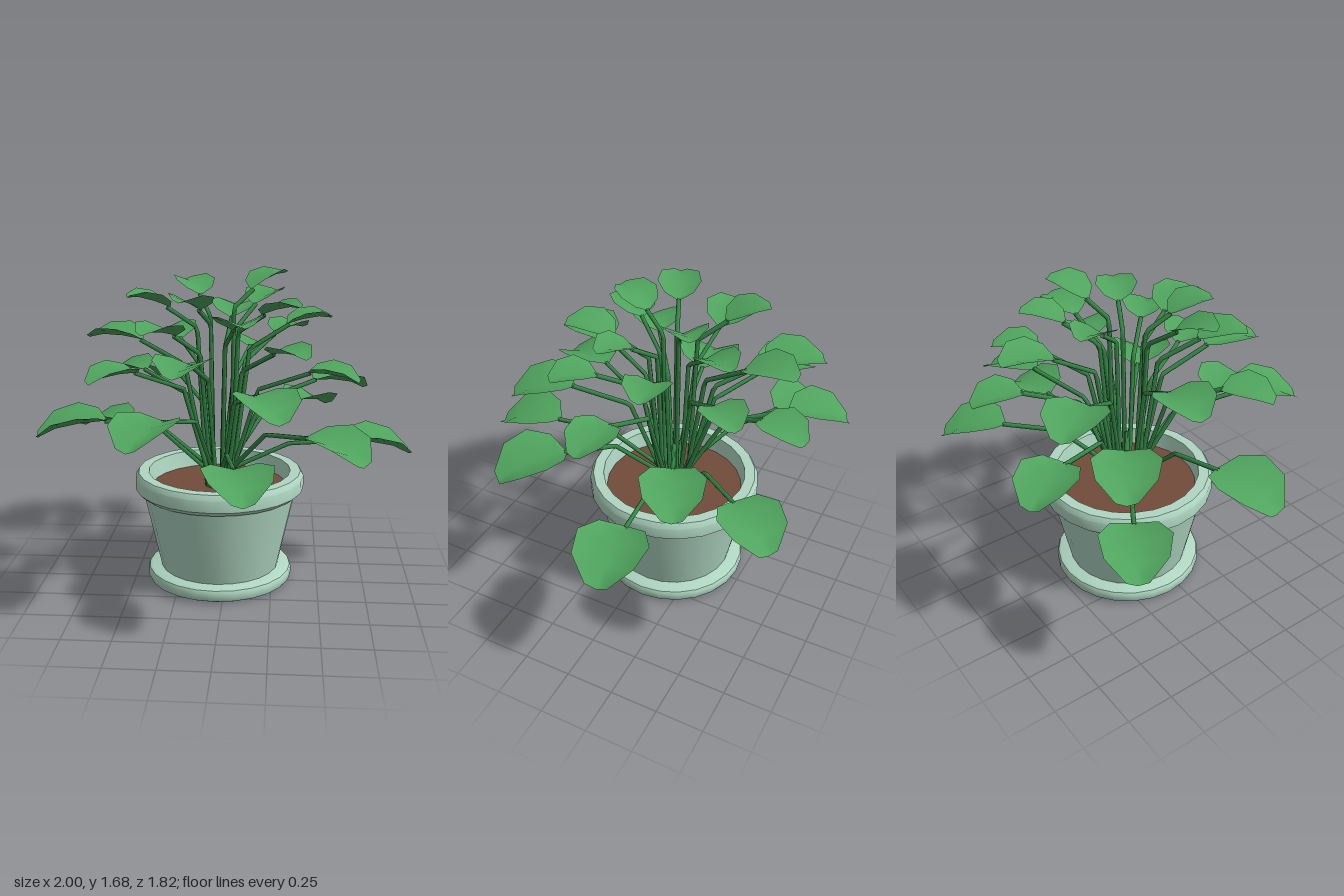
import * as THREE from 'three';
import { toCreasedNormals } from 'three/addons/utils/BufferGeometryUtils.js';

const CX = -0.04, CZ = -0.08; // pot axis

// each leaf: centre x, centre z, middle height, width
const LEAVES = [
  [-0.37, -0.75, 1.0, 0.32], [-0.75, -0.53, 0.76, 0.35], [-0.61, -0.48, 1.08, 0.33],
  [-0.37, -0.59, 1.28, 0.32], [-0.21, -0.39, 1.58, 0.23], [0.13, -0.72, 1.20, 0.26],
  [0.015, -0.60, 1.42, 0.28], [0.455, -0.715, 0.86, 0.34], [0.325, -0.50, 1.33, 0.24],
  [0.20, -0.41, 1.52, 0.23], [0.215, -0.255, 1.63, 0.23], [0.61, -0.385, 1.05, 0.32],
  [0.43, -0.16, 1.43, 0.24], [0.815, -0.17, 0.75, 0.37], [0.555, 0.06, 1.17, 0.27],
  [0.285, 0.08, 1.51, 0.22], [0.325, 0.295, 1.32, 0.24], [0.55, 0.43, 0.89, 0.37],
  [0.225, 0.55, 1.12, 0.33], [0.105, 0.73, 0.80, 0.35], [0.085, 0.335, 1.46, 0.26],
  [-0.17, 0.49, 1.28, 0.30], [-0.335, 0.61, 1.0, 0.35], [-0.305, 0.31, 1.42, 0.25],
  [-0.165, 0.22, 1.55, 0.23], [-0.54, 0.285, 1.20, 0.27], [-0.39, 0.07, 1.55, 0.23],
  [-0.60, -0.155, 1.33, 0.30], [-0.81, 0.07, 0.885, 0.375],
];

function lathe(points, material, name) {
  const profile = points.map(([r, y]) => new THREE.Vector2(r, y));
  const mesh = new THREE.Mesh(toCreasedNormals(new THREE.LatheGeometry(profile, 24), 0.6), material);
  mesh.name = name;
  mesh.position.set(CX, 0, CZ);
  return mesh;
}

// Unit leaf along +z: keeled along the midrib, with both edges raised
function leafGeometry() {
  // distance along the leaf, half width, midrib height
  const stations = [[0, 0.03, 0], [0.1, 0.32, 0.02], [0.38, 0.49, 0.05], [0.74, 0.42, 0.045], [1, 0.15, -0.03]];
  const pos = [], index = [];
  stations.forEach(([u, w, h], i) => {
    for (const side of [-1, 0, 1]) pos.push(side * w, h + Math.abs(side) * 0.39 * w, u);
    if (i === 0) return;
    for (const a of [3 * i - 3, 3 * i - 2]) index.push(a, a + 3, a + 4, a, a + 4, a + 1);
  });
  const g = new THREE.BufferGeometry();
  g.setAttribute('position', new THREE.Float32BufferAttribute(pos, 3));
  g.setIndex(index);
  g.computeVertexNormals();
  return g;
}

// Stalk rising from the crown, then bending out to the leaf
function stalkGeometry(points) {
  const path = new THREE.CurvePath();
  for (let i = 0; i < points.length - 1; i++) path.add(new THREE.LineCurve3(points[i], points[i + 1]));
  return new THREE.TubeGeometry(path, 24, 0.012, 6, false);
}

export function createModel() {
  const mat = (name, color, side = THREE.FrontSide) => {
    const m = new THREE.MeshStandardMaterial({ color, side });
    m.name = name;
    return m;
  };
  const glaze = mat('pale green glaze', 0xafd6c2);
  const earth = mat('brown soil', 0x724b3b);
  const stalkGreen = mat('stalk green', 0x358746, THREE.DoubleSide);
  const leafGreen = mat('leaf green', 0x50a55e, THREE.DoubleSide);

  const model = new THREE.Group();
  model.name = 'pottedPlant';

  // Saucer, pot and soil
  model.add(lathe([[0, 0], [0.375, 0], [0.39, 0.008], [0.397, 0.022], [0.397, 0.053],
    [0.39, 0.067], [0.375, 0.075], [0, 0.075]], glaze, 'saucer'));
  model.add(lathe([[0, 0.07], [0.322, 0.07], [0.415, 0.497], [0.43, 0.497], [0.457, 0.522],
    [0.457, 0.585], [0.44, 0.612], [0.385, 0.612], [0.365, 0.5], [0, 0.5]], glaze, 'pot'));
  model.add(lathe([[0.372, 0.522], [0, 0.522]], earth, 'soil'));

  // Leaves with their stalks, each turned to face away from the crown
  const blade = leafGeometry();
  const foliage = new THREE.Group();
  foliage.name = 'foliage';
  foliage.position.set(CX, 0, CZ);
  model.add(foliage);
  LEAVES.forEach(([x, z, y, size]) => {
    const dx = x - CX, dz = z - CZ;
    const reach = Math.hypot(dx, dz) - size / 2;
    const slope = -0.18 + 0.5 * Math.max(0, (y - 1.12) / 0.45);
    const baseY = y - 0.05 * size - slope * size / 2;

    const part = new THREE.Group();
    part.name = 'leafWithStalk';
    part.rotation.y = Math.atan2(dx, dz);

    const leaf = new THREE.Mesh(blade, leafGreen);
    leaf.name = 'leaf';
    leaf.scale.setScalar(size);
    leaf.position.set(0, baseY, reach);
    leaf.rotation.x = -Math.atan(slope);

    const bend = reach * (y < 1 ? 0.56 : 0.45);
    const drop = (reach - bend) * Math.min(0.85, Math.max(0.04, (y - 0.75) * 0.95));
    const at = (r, h) => new THREE.Vector3(0, h, r);
    const stalk = new THREE.Mesh(stalkGeometry([
      at(0.065, 0.5), at(0.078, 0.62), at(Math.max(bend, 0.09), baseY - drop), at(reach + 0.015, baseY),
    ]), stalkGreen);
    stalk.name = 'stalk';

    part.add(leaf, stalk);
    foliage.add(part);
  });
  return model;
}
